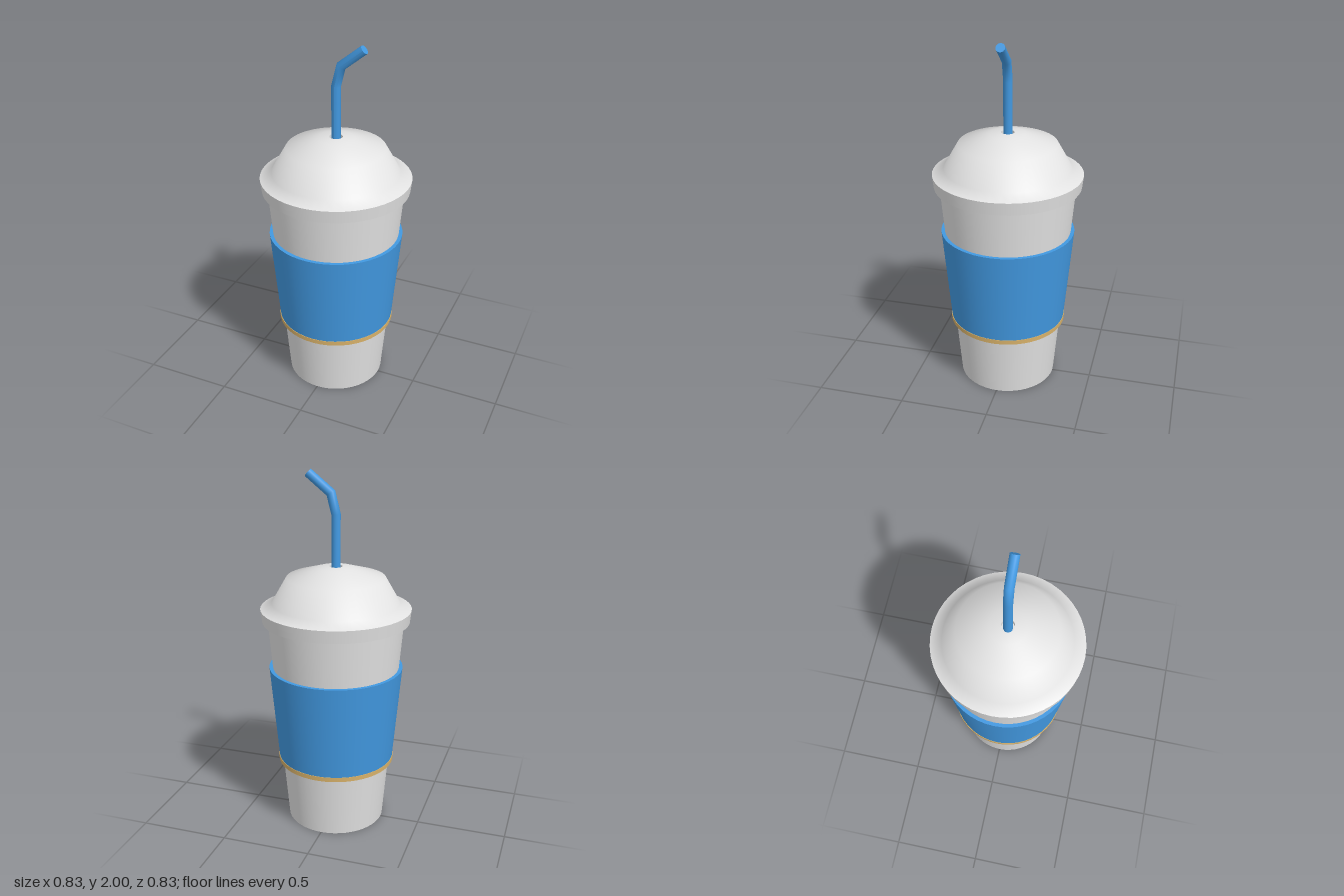
import * as THREE from 'three';

const SIDES = 48;
const mat = (name, color) => {
  const m = new THREE.MeshStandardMaterial({ color });
  m.name = name;
  return m;
};

// Smooth surface of revolution from [radius, height] points, listed from bottom to top on the outside
function lathe(points) {
  return new THREE.LatheGeometry(points.map(([r, y]) => new THREE.Vector2(r, y)), SIDES);
}

// Round straw following a bent path, with mitred joints and closed ends
function bentStraw(path, radius) {
  const geo = new THREE.CylinderGeometry(radius, radius, 1, 16, path.length - 1);
  const pos = geo.attributes.position;
  const dirs = path.slice(1).map((p, i) => p.clone().sub(path[i]).normalize());
  for (let i = 0; i < pos.count; i++) {
    const k = Math.round((pos.getY(i) + 0.5) * (path.length - 1));
    const before = dirs[Math.max(k - 1, 0)];
    const after = dirs[Math.min(k, dirs.length - 1)];
    const along = before.clone().add(after).normalize();
    const stretch = 1 / along.dot(before);
    const x = pos.getX(i) * stretch;
    pos.setXY(i, path[k].x + x * along.y, path[k].y - x * along.x);
  }
  geo.computeVertexNormals();
  return geo;
}

export function createModel() {
  const group = new THREE.Group();
  const white = mat('offWhite', 0xe2e2e2);
  const blue = mat('blue', 0x4299e1);
  const gold = mat('gold', 0xd6b069);

  const add = (name, geometry, material, parent = group) => {
    const mesh = new THREE.Mesh(geometry, material);
    mesh.name = name;
    parent.add(mesh);
    return mesh;
  };

  // Tapered cup body
  add('cup', new THREE.CylinderGeometry(0.378, 0.275, 1.22, SIDES), white).position.y = 0.61;

  // Sleeve around the cup and the thin band under it
  add('sleeve', new THREE.CylinderGeometry(0.373, 0.327, 0.537, SIDES), blue).position.y = 0.6535;
  add('sleeveBand', new THREE.CylinderGeometry(0.33, 0.33, 0.025, SIDES), gold).position.y = 0.3725;

  // Lid: underside, skirt, dome and the straw hole, separate so their edges stay sharp
  const lid = new THREE.Group();
  lid.name = 'lid';
  group.add(lid);
  add('lidUnderside', lathe([[0.3, 1.19], [0.406, 1.19]]), white, lid);
  add('lidSkirt', lathe([[0.406, 1.19], [0.414, 1.26]]), white, lid);
  add('lidDome', lathe([[0.414, 1.26], [0.35, 1.29], [0.27, 1.43], [0.098, 1.483], [0.036, 1.49]]), white, lid);
  add('strawHoleWall', lathe([[0.036, 1.49], [0.036, 1.46]]), white, lid);
  add('strawHoleFloor', lathe([[0.036, 1.46], [0, 1.46]]), white, lid);

  // Bent straw
  const path = [[0, 1.3], [0, 1.77], [0.028, 1.88], [0.154, 1.98]]
    .map(([x, y]) => new THREE.Vector3(x, y, 0));
  add('straw', bentStraw(path, 0.025), blue);

  return group;
}
